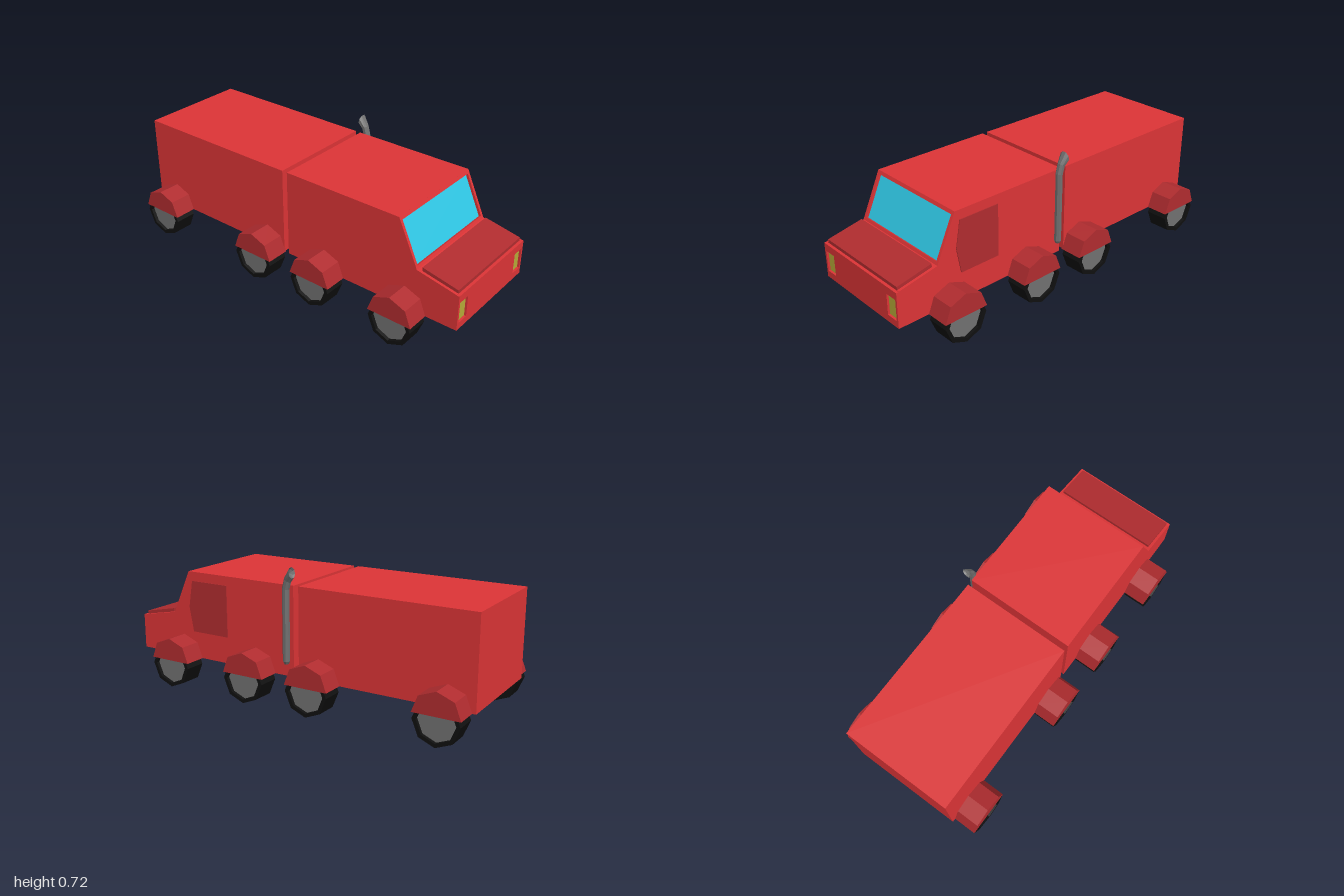
import * as THREE from 'three';

const mat = (color) => new THREE.MeshStandardMaterial({ color, flatShading: true });

export function createModel() {
  const truck = new THREE.Group();
  const red = mat(0xdc3436), darkRed = mat(0xb02c2f), black = mat(0x101010);
  const grey = mat(0x707070), glassBlue = mat(0x30c8e6), yellow = mat(0xb8aa38);

  const add = (name, geometry, material, parent = truck) => {
    const mesh = new THREE.Mesh(geometry, material);
    mesh.name = name;
    parent.add(mesh);
    return mesh;
  };
  const outline = (pts) => new THREE.Shape(pts.map(([a, b]) => new THREE.Vector2(a, b)));
  const extrude = (shape, depth) => new THREE.ExtrudeGeometry(shape, { depth, bevelEnabled: false });
  // Side profile of [z, y] points, extruded across x from x0 to x1
  const sideProfile = (pts, x0, x1) =>
    extrude(outline(pts), x1 - x0).rotateY(-Math.PI / 2).translate(x1, 0, 0);
  const rect = (x0, y0, x1, y1) => [[x0, y0], [x1, y0], [x1, y1], [x0, y1]];
  // Flat plate with rectangular openings
  const plate = (outer, holes, depth) => {
    const shape = outline(rect(...outer));
    holes.forEach((h) => shape.holes.push(new THREE.Path(outline(rect(...h)).getPoints().reverse())));
    return extrude(shape, depth);
  };

  // Cab body, kept behind the framed front and windshield
  add('cab', sideProfile([
    [-0.015, 0.15], [0.985, 0.15], [0.985, 0.343], [0.77, 0.385], [0.7535, 0.385],
    [0.6464, 0.6187], [0.66, 0.625], [-0.015, 0.625],
  ], -0.3, 0.3), red);

  // Front plate with recessed headlamps
  const lamps = [[-0.288, 0.187, -0.22, 0.3], [0.22, 0.187, 0.288, 0.3]];
  add('frontPlate', plate([-0.3, 0.15, 0.3, 0.341], lamps, 0.015), red).position.z = 0.985;
  for (const s of [-1, 1]) {
    add('headlamp', new THREE.BoxGeometry(0.068, 0.113, 0.006), yellow)
      .position.set(s * 0.254, 0.2435, 0.986);
  }

  // Sloping windshield frame with inset glass
  const windshield = new THREE.Group();
  windshield.name = 'windshield';
  windshield.position.set(0, 0.3787, 0.7564);
  windshield.rotation.x = -Math.atan2(0.11, 0.24);
  truck.add(windshield);
  add('windshieldFrame', plate([-0.3, 0, 0.3, 0.264], [[-0.284, 0.016, 0.284, 0.245]], 0.015), red, windshield);
  add('glass', new THREE.BoxGeometry(0.568, 0.229, 0.004), glassBlue, windshield).position.y = 0.1305;

  // Raised hood panel and side door
  add('hoodPanel', sideProfile([[0.985, 0.34], [0.985, 0.36], [0.79, 0.4], [0.79, 0.378]].reverse(),
    -0.285, 0.285), darkRed);
  add('door', sideProfile([[0.405, 0.295], [0.635, 0.295], [0.66, 0.43], [0.635, 0.575], [0.405, 0.575]],
    0.29, 0.304), darkRed);

  // Trailer box
  add('trailer', new THREE.BoxGeometry(0.6, 0.475, 0.955), red).position.set(0, 0.3875, -0.5225);

  // Wheels: octagonal tyre with a recessed hub, under an angular fender
  const tyreGeo = new THREE.LatheGeometry(
    [[0, -0.06], [0.12, -0.06], [0.12, 0.06], [0.1, 0.06], [0.1, 0.035]].map((p) => new THREE.Vector2(...p)), 8);
  const hubGeo = new THREE.CylinderGeometry(0.1, 0.1, 0.02, 8);
  const fenderGeo = sideProfile([[-0.123, 0.15], [0.123, 0.15], [0.09, 0.235], [0, 0.27], [-0.09, 0.235]], 0.295, 0.424);
  for (const z of [0.708, 0.222, -0.161, -0.858]) {
    for (const side of [1, -1]) {
      const wheel = new THREE.Group();
      wheel.name = 'wheel';
      wheel.position.set(side * 0.361, 0.12, z);
      wheel.rotation.z = -side * Math.PI / 2;
      truck.add(wheel);
      add('tyre', tyreGeo, black, wheel);
      add('hub', hubGeo, grey, wheel).position.y = 0.032;
      const fender = add('fender', fenderGeo, darkRed);
      fender.position.z = z;
      if (side < 0) fender.rotation.y = Math.PI, fender.position.z = z;
    }
  }

  // Exhaust stack: rings of [y, z, radius, backward tilt], ending in a flared mouth
  const rings = [
    [0.22, 0.017, 0, 0], [0.22, 0.017, 0.011, 0], [0.235, 0.017, 0.019, 0], [0.61, 0.017, 0.019, 0.15],
    [0.655, 0.005, 0.02, 0.6], [0.694, -0.02, 0.029, 1.35], [0.69, -0.012, 0.022, 1.35], [0.688, -0.004, 0, 1.35],
  ];
  const sides = 8, pos = [], index = [];
  rings.forEach(([y, z, r, tilt], i) => {
    for (let j = 0; j < sides; j++) {
      const a = ((j + 0.5) / sides) * Math.PI * 2, v = r * Math.sin(a);
      pos.push(0.319 + r * Math.cos(a), y + v * Math.sin(tilt), z + v * Math.cos(tilt));
      if (i === 0) continue;
      const k = (j + 1) % sides, lo = (i - 1) * sides, hi = i * sides;
      index.push(lo + j, hi + j, lo + k, lo + k, hi + j, hi + k);
    }
  });
  const stack = new THREE.BufferGeometry();
  stack.setAttribute('position', new THREE.Float32BufferAttribute(pos, 3));
  stack.setIndex(index);
  stack.computeVertexNormals();
  add('exhaustStack', stack, grey);

  return truck;
}
